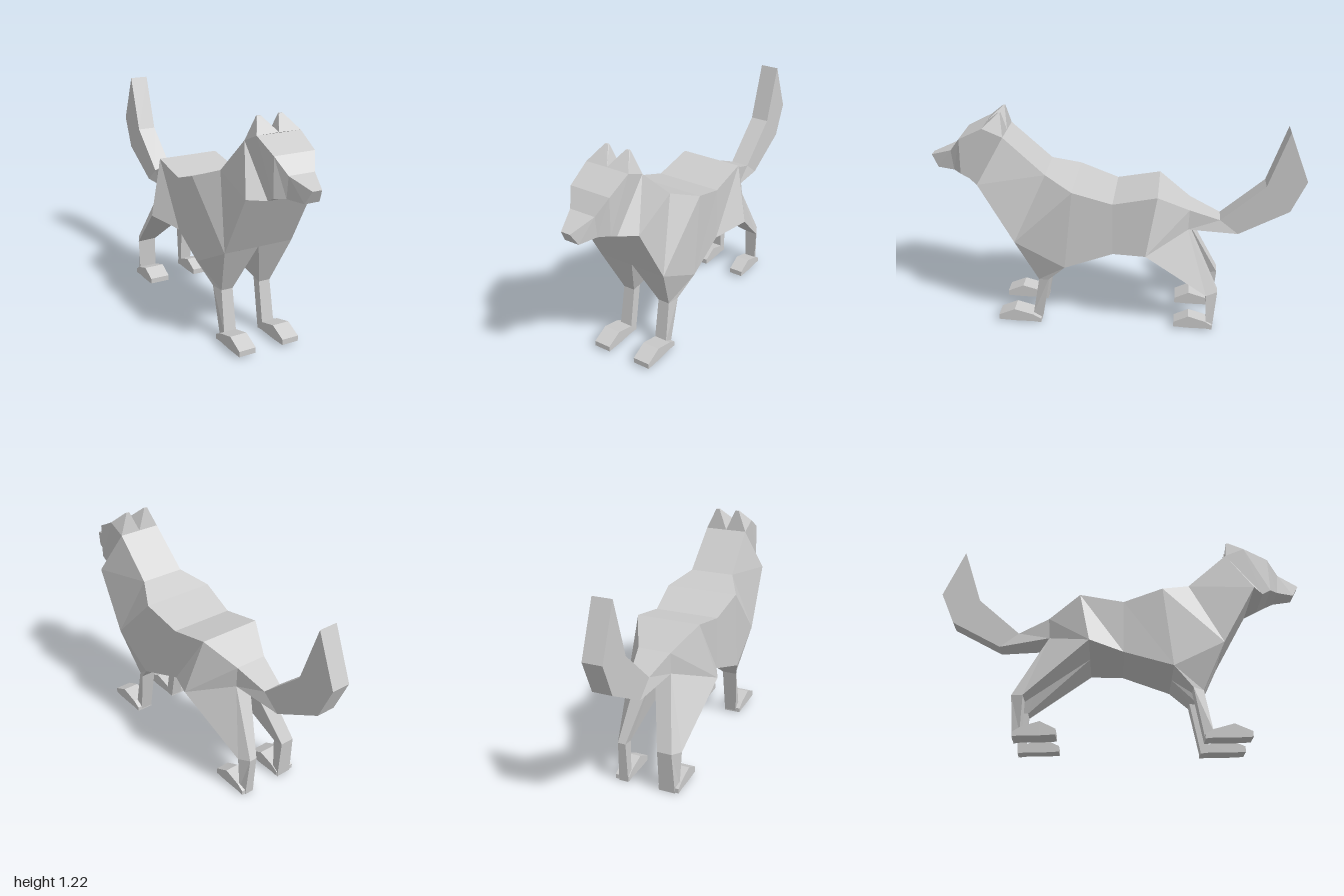
import * as THREE from 'three';

const material = new THREE.MeshStandardMaterial({ color: 0xcccccc, flatShading: true, side: THREE.DoubleSide });

// Skin a row of four-cornered rings; corners run counter-clockwise seen from the first ring.
// side = -1 mirrors the part in x.
function loft(name, rings, side = 1) {
  const pos = [];
  const tri = (a, b, c) => {
    for (const p of side > 0 ? [a, b, c] : [a, c, b]) pos.push(p[0] * side, p[1], p[2]);
  };
  for (let k = 0; k < rings.length - 1; k++) {
    const A = rings[k], B = rings[k + 1];
    for (let i = 0; i < 4; i++) {
      const j = (i + 1) % 4;
      if (i === 3) {
        tri(A[j], A[i], B[j]);
        tri(A[i], B[i], B[j]);
      } else {
        tri(A[j], A[i], B[i]);
        tri(A[j], B[i], B[j]);
      }
    }
  }
  const a = rings[0], b = rings[rings.length - 1];
  tri(a[0], a[1], a[2]);
  tri(a[0], a[2], a[3]);
  tri(b[2], b[1], b[0]);
  tri(b[3], b[2], b[0]);
  const geometry = new THREE.BufferGeometry();
  geometry.setAttribute('position', new THREE.Float32BufferAttribute(pos, 3));
  geometry.computeVertexNormals();
  const mesh = new THREE.Mesh(geometry, material);
  mesh.name = name;
  return mesh;
}

// Symmetric ring from the top and bottom edges, each given as z, y, half width
const ring = (zt, yt, wt, zb, yb, wb) =>
  [[wt, yt, zt], [-wt, yt, zt], [-wb, yb, zb], [wb, yb, zb]];

// Paw running from the toes back to the heel
function paw(name, z, inner, outer, length, side) {
  const rows = [[1, 0.045, 0.015], [0.62, 0.085, 0.01], [0.18, 0.055, 0.01], [0, 0.03, 0.005]];
  return loft(name, rows.map(([t, top, bottom]) => {
    const p = z + t * length;
    return [[outer, top, p], [inner, top, p], [inner, bottom, p], [outer, bottom, p]];
  }), side);
}

export function createModel() {
  const model = new THREE.Group();
  model.name = 'canine';

  const neck = ring(0.585, 1.10, 0.12, 0.72, 0.86, 0.19);
  const rump = ring(-0.395, 0.71, 0.09, -0.39, 0.595, 0.09);

  // Head: snout tip, snout root, brow, crown, and the join with the neck
  model.add(loft('head', [
    ring(1.0, 0.955, 0.025, 0.965, 0.89, 0.04),
    ring(0.88, 1.0, 0.07, 0.87, 0.89, 0.07),
    ring(0.82, 1.08, 0.11, 0.825, 0.885, 0.11),
    ring(0.69, 1.145, 0.12, 0.78, 0.86, 0.11),
    neck,
  ]));

  // Torso from neck to rump
  model.add(loft('torso', [
    neck,
    ring(0.37, 0.90, 0.125, 0.54, 0.53, 0.195),
    ring(0.22, 0.84, 0.205, 0.27, 0.39, 0.205),
    ring(0.01, 0.77, 0.18, 0.01, 0.475, 0.18),
    ring(-0.225, 0.815, 0.175, -0.17, 0.51, 0.257),
    rump,
  ]));

  // Upswept tail
  model.add(loft('tail', [
    rump,
    ring(-0.56, 0.64, 0.052, -0.66, 0.56, 0.052),
    ring(-0.79, 0.845, 0.052, -0.925, 0.705, 0.052),
    ring(-0.89, 1.15, 0.052, -1.0, 0.88, 0.052),
  ]));

  for (const side of [1, -1]) {
    const label = side > 0 ? 'left' : 'right';

    // Ear: tapers from half of the crown to a small flat tip
    model.add(loft(label + 'Ear', [
      [[0.05, 1.215, 0.612], [0.07, 1.215, 0.612], [0.07, 1.215, 0.602], [0.05, 1.215, 0.602]],
      [[0, 1.147, 0.69], [0.12, 1.145, 0.69], [0.12, 1.10, 0.585], [0, 1.10, 0.585]],
    ], side));

    // Front leg: shoulder, elbow, heel
    model.add(loft(label + 'FrontLeg', [
      [[0, 0.535, 0.54], [0.195, 0.53, 0.54], [0.205, 0.39, 0.27], [0, 0.39, 0.27]],
      [[0.08, 0.275, 0.425], [0.145, 0.275, 0.425], [0.165, 0.285, 0.37], [0.08, 0.285, 0.37]],
      [[0.08, 0.05, 0.465], [0.15, 0.05, 0.465], [0.15, 0.012, 0.42], [0.08, 0.012, 0.42]],
    ], side));
    model.add(paw(label + 'FrontPaw', 0.42, 0.08, 0.175, 0.24, side));

    // Hind leg: thigh, hock, heel; the right one stands a little wider
    const outer = side > 0 ? 0.163 : 0.2;
    model.add(loft(label + 'HindLeg', [
      [[0, 0.51, -0.17], [0.257, 0.51, -0.17], [0.09, 0.595, -0.39], [0, 0.595, -0.39]],
      [[0.09, 0.228, -0.503], [outer, 0.225, -0.503], [outer - 0.03, 0.235, -0.565], [0.09, 0.235, -0.565]],
      [[0.09, 0.03, -0.51], [outer - 0.01, 0.03, -0.51], [outer - 0.02, 0, -0.547], [0.09, 0, -0.547]],
    ], side));
    model.add(paw(label + 'HindPaw', -0.545, 0.085, outer, 0.215, side));
  }
  return model;
}
